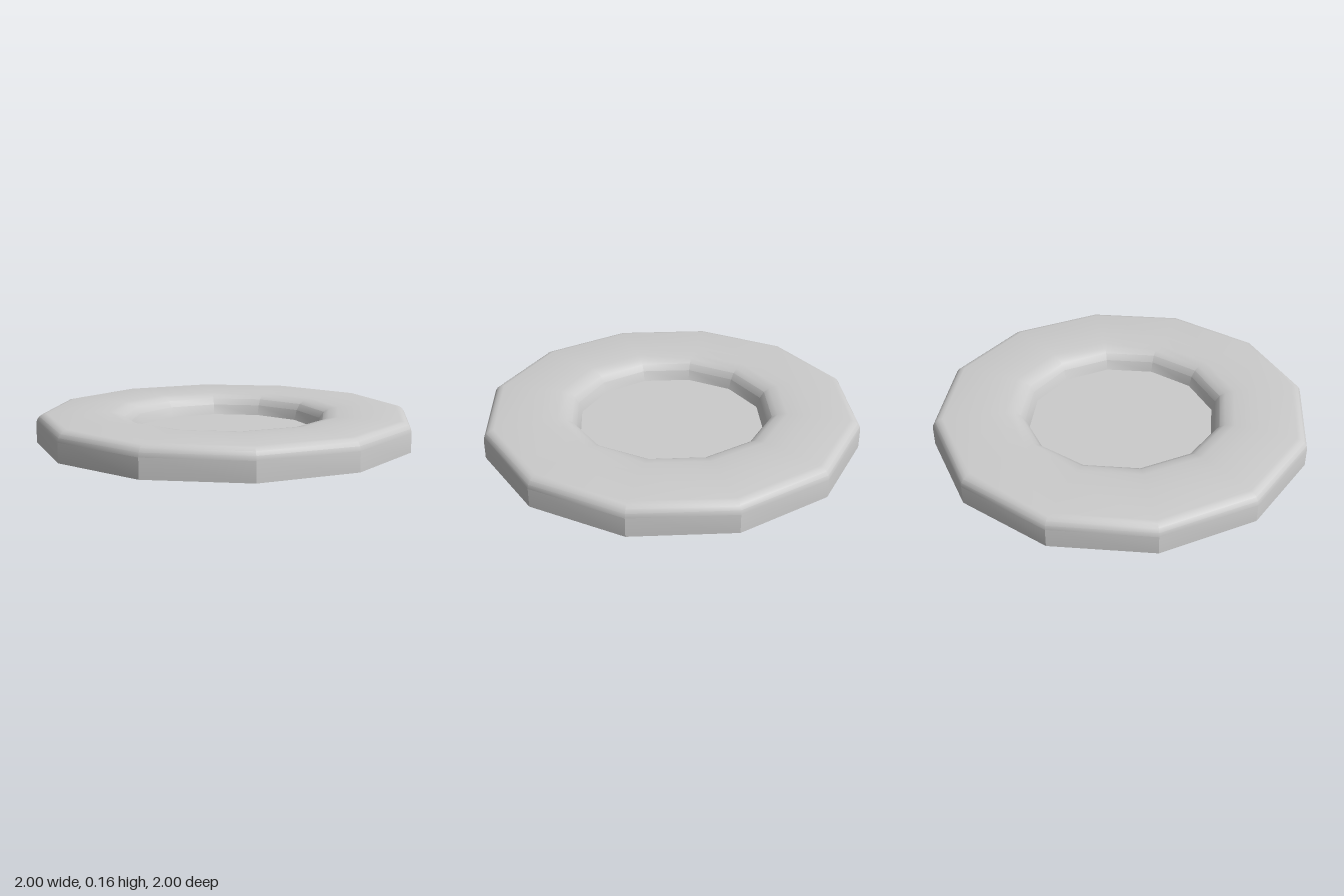
import * as THREE from 'three';
import { toCreasedNormals } from 'three/addons/utils/BufferGeometryUtils.js';

const SIDES = 12;
const FLOOR_Y = 0.04;

export function createModel() {
  const group = new THREE.Group();
  group.name = 'recessedDisc';
  const material = new THREE.MeshStandardMaterial({ color: 0xcccccc });

  const add = (name, geometry) => {
    const mesh = new THREE.Mesh(geometry, material);
    mesh.name = name;
    group.add(mesh);
    return mesh;
  };

  // Ring profile: outer wall, rounded shoulder, flat top, soft lip, sloping inner wall
  const profile = [new THREE.Vector2(1, 0)];
  const radius = 0.055, height = 0.155, steps = 4;
  for (let i = 0; i <= steps; i++) {
    const a = (i / steps) * Math.PI / 2;
    profile.push(new THREE.Vector2(
      1 - radius + radius * Math.cos(a),
      height - radius + radius * Math.sin(a)));
  }
  [[0.72, 0.155], [0.62, 0.153], [0.57, 0.145], [0.54, 0.128], [0.517, 0.095], [0.5, FLOOR_Y]]
    .forEach(([x, y]) => profile.push(new THREE.Vector2(x, y)));

  // Crease just under the 30 degree corners keeps the outer wall faceted
  const ring = new THREE.LatheGeometry(profile, SIDES);
  add('ring', toCreasedNormals(ring, THREE.MathUtils.degToRad(29.9)));

  // Recessed floor inside the ring
  const floor = add('recessFloor', new THREE.CircleGeometry(0.5, SIDES));
  floor.rotation.x = -Math.PI / 2;
  floor.position.y = FLOOR_Y;

  // Flat underside
  const base = add('underside', new THREE.CircleGeometry(1, SIDES));
  base.rotation.x = Math.PI / 2;

  return group;
}
